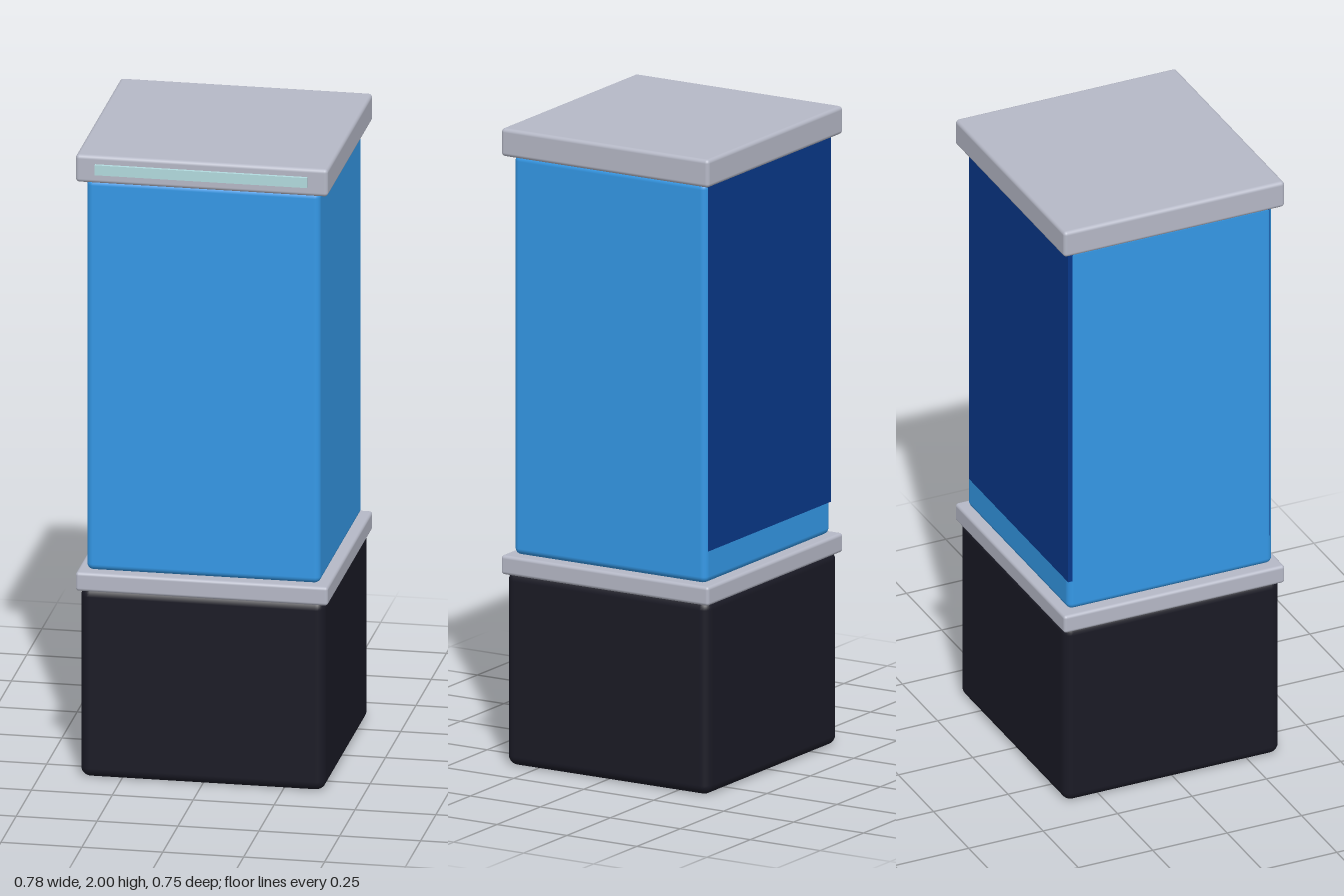
import * as THREE from 'three';
import { RoundedBoxGeometry } from 'three/addons/geometries/RoundedBoxGeometry.js';

const paint = (name, color) => {
  const m = new THREE.MeshStandardMaterial({ color });
  m.name = name;
  return m;
};

export function createModel() {
  const group = new THREE.Group();
  const grey = paint('grey trim', 0xb5b8c6);
  const blue = paint('blue body', 0x3498e6);
  const navy = paint('navy panel', 0x08388a);
  const black = paint('black base', 0x1a1a25);
  const teal = paint('pale teal strip', 0xb2dade);

  // Box between two heights; all main blocks share one axis at cz
  const cz = -0.0055;
  const block = (name, mat, w, y0, y1, d, r, x = 0, z = cz) => {
    const geo = r
      ? new RoundedBoxGeometry(w, y1 - y0, d, 3, r)
      : new THREE.BoxGeometry(w, y1 - y0, d);
    const mesh = new THREE.Mesh(geo, mat);
    mesh.name = name;
    mesh.position.set(x, (y0 + y1) / 2, z);
    group.add(mesh);
  };

  // Stacked blocks, bottom to top
  block('base', black, 0.756, 0, 0.61, 0.724, 0.03);
  block('lowerTrim', grey, 0.78, 0.6, 0.66, 0.742, 0.01);
  block('body', blue, 0.722, 0.66, 1.915, 0.688, 0.02);
  block('lid', grey, 0.78, 1.912, 2, 0.742, 0.012);

  // Thin strip set in the front of the lid
  block('frontStrip', teal, 0.656, 1.942, 1.974, 0.02, 0, 0, 0.366);

  // Square-edged panels: one on the back, one just under the side skin
  block('backPanel', navy, 0.706, 0.76, 1.912, 0.009, 0, -0.007, cz - 0.34);
  block('sidePanel', navy, 0.009, 0.76, 1.912, 0.676, 0, -0.3555, cz - 0.006);

  return group;
}
